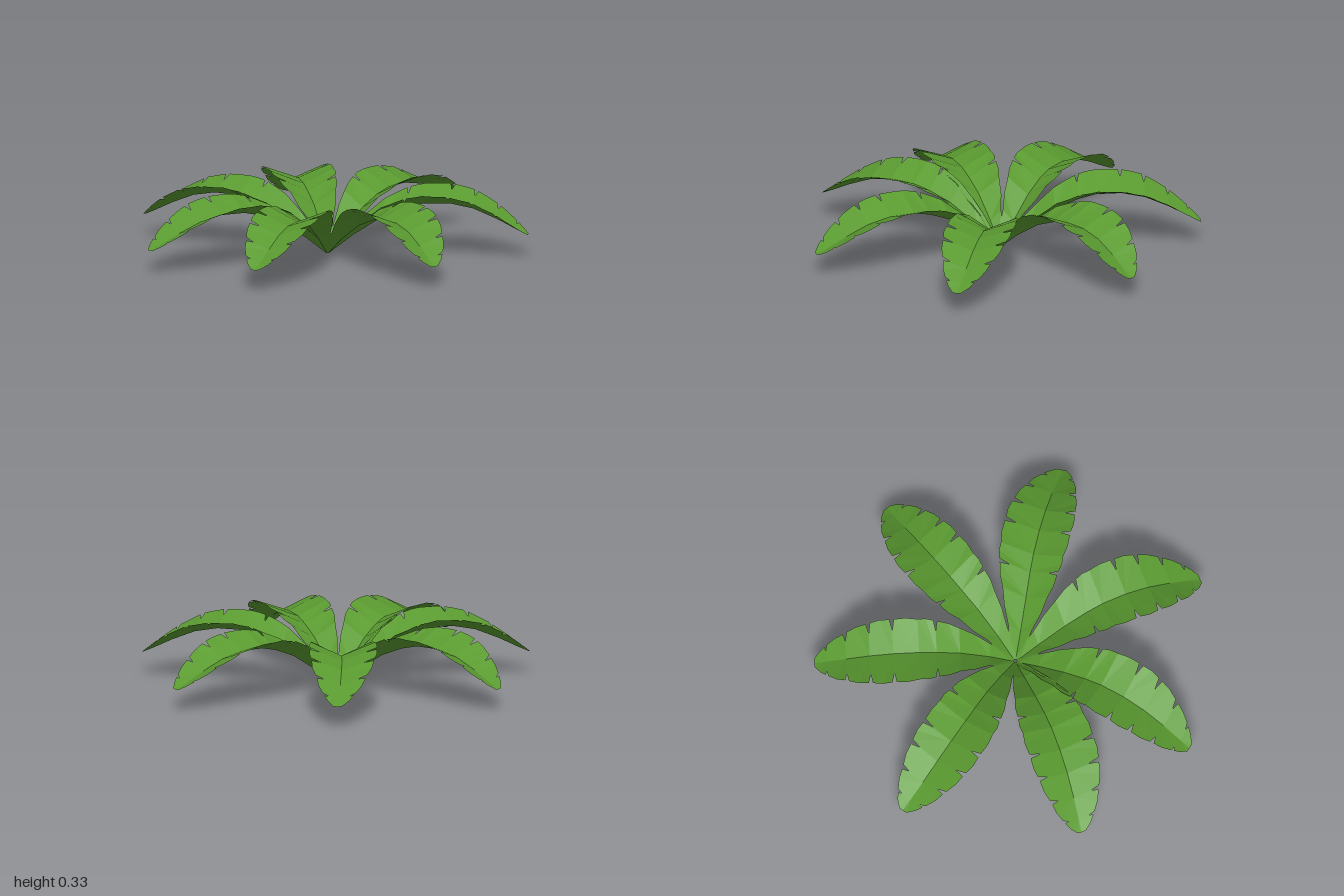
import * as THREE from 'three';

// Leaf stations: distance out, midrib height, sideways bow, half width, edge lift, torn edge
const STATIONS = [
  [0.008, 0.0, 0.0, 0.012, 0.008, 0],
  [0.13, 0.095, 0.004, 0.06, 0.045, 0],
  [0.28, 0.19, 0.012, 0.115, 0.07, 0],
  [0.4, 0.238, 0.02, 0.15, 0.075, 1],
  [0.49, 0.26, 0.024, 0.16, 0.07, 0],
  [0.62, 0.262, 0.025, 0.168, 0.066, 1],
  [0.74, 0.238, 0.022, 0.16, 0.062, 1],
  [0.86, 0.188, 0.015, 0.128, 0.048, 1],
  [0.96, 0.138, 0.006, 0.08, 0.025, 1],
  [1.02, 0.11, 0.0, 0.022, 0.004, 0],
];

// Point on the blade: station, side (-1 left, 1 right), fraction of the half width
function bladePoint(s, side, f) {
  const [r, y, bow, w, lift] = s;
  const width = w * (side < 0 ? 1.06 : 0.97);
  return new THREE.Vector3(r, y + lift * f, -bow + side * width * f);
}

// One V-shaped blade, built as panels between stations with narrow tears in the rim
function leafGeometry() {
  const pos = [];
  for (let i = 0; i < STATIONS.length - 1; i++) {
    const a = STATIONS[i], b = STATIONS[i + 1];
    for (const side of [-1, 1]) {
      const outerA = bladePoint(a, side, 1), outerB = bladePoint(b, side, 1);
      const rimA = outerA.clone().lerp(outerB, a[5] * 0.11);
      const rimB = outerB.clone().lerp(outerA, b[5] * 0.07);
      // slightly rounded rim between two tears
      const rimMid = rimA.clone().lerp(rimB, 0.5);
      rimMid.z += side * 0.006;
      const panel = [
        bladePoint(a, side, 0), bladePoint(a, side, 0.68), rimA, rimMid, rimB,
        bladePoint(b, side, 0.68), bladePoint(b, side, 0),
      ];
      for (let k = 1; k < panel.length - 1; k++) {
        const tri = side > 0
          ? [panel[0], panel[k], panel[k + 1]]
          : [panel[0], panel[k + 1], panel[k]];
        for (const p of tri) pos.push(p.x, p.y, p.z);
      }
    }
  }
  const geo = new THREE.BufferGeometry();
  geo.setAttribute('position', new THREE.Float32BufferAttribute(pos, 3));
  geo.computeVertexNormals();
  return geo;
}

export function createModel() {
  const plant = new THREE.Group();
  plant.name = 'leafyPlant';
  const green = new THREE.MeshStandardMaterial({
    color: 0x5a9a30, flatShading: true, side: THREE.DoubleSide,
  });
  const geo = leafGeometry();

  // Seven equal leaves spreading from the root, with one narrower gap
  for (let i = 0; i < 7; i++) {
    const leaf = new THREE.Mesh(geo, green);
    leaf.name = 'leaf' + (i + 1);
    leaf.position.set(0.02, 0, -0.03);
    leaf.rotation.y = -THREE.MathUtils.degToRad(89.4 - 53.2 * i);
    plant.add(leaf);
  }
  return plant;
}
